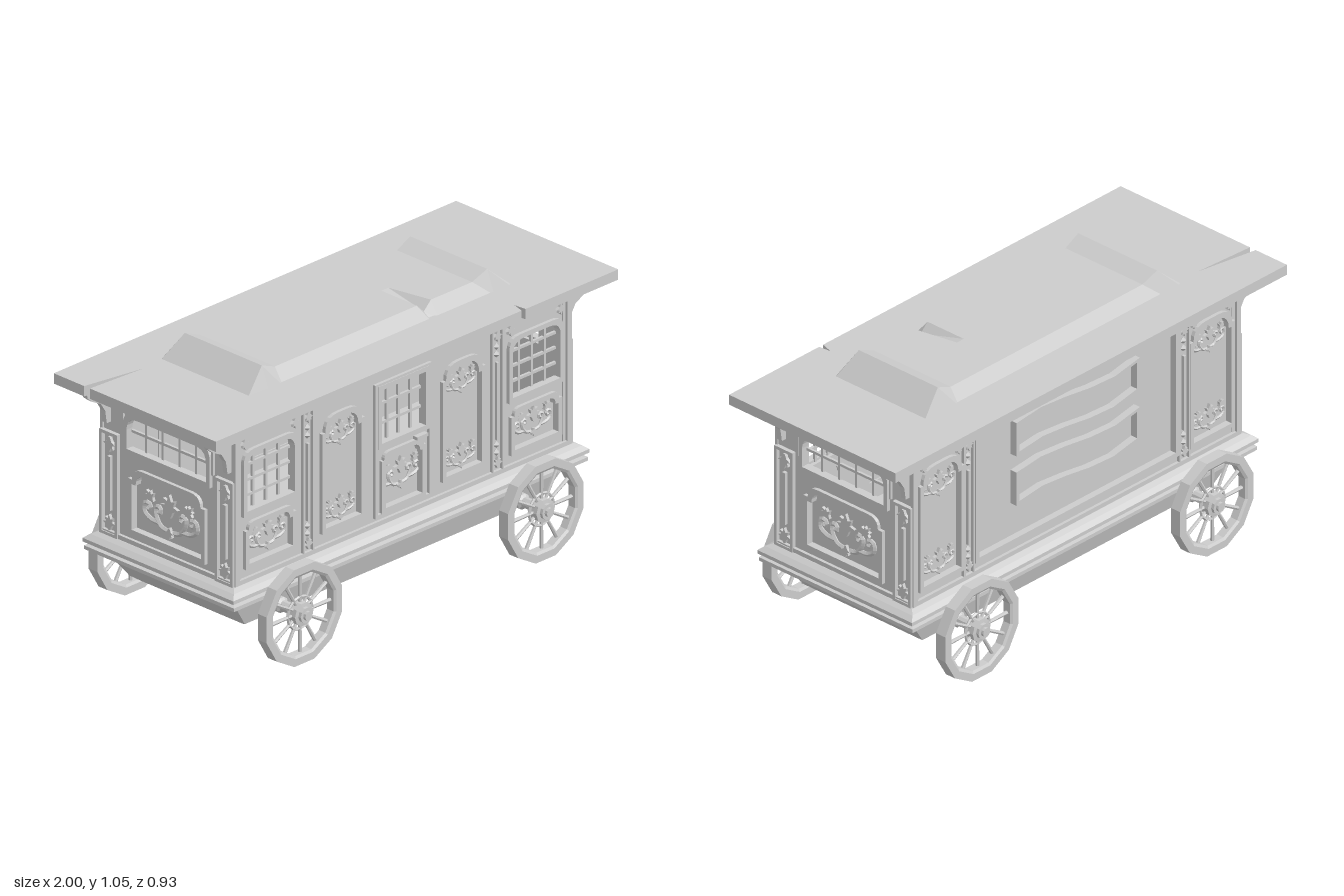
import * as THREE from 'three';

const mat = new THREE.MeshStandardMaterial({ color: 0xcccccc, flatShading: true });

function add(parent, name, geo, x = 0, y = 0, z = 0) {
  const m = new THREE.Mesh(geo, mat);
  m.name = name;
  m.position.set(x, y, z);
  parent.add(m);
  return m;
}
const box = (w, h, d) => new THREE.BoxGeometry(w, h, d);
const extrude = (shape, depth) => new THREE.ExtrudeGeometry(shape, { depth, bevelEnabled: false, curveSegments: 5 });
const poly = (pts) => new THREE.Shape(pts.map((p) => new THREE.Vector2(...p)));

// Skin over closed rings of points, with both ends capped
function loft(rings) {
  const pos = [], n = rings[0].length;
  const tri = (...p) => p.forEach((v) => pos.push(...v));
  for (let i = 0; i < rings.length - 1; i++)
    for (let j = 0; j < n; j++) {
      const k = (j + 1) % n, a = rings[i][j], b = rings[i][k], c = rings[i + 1][k], d = rings[i + 1][j];
      tri(a, b, c);
      tri(a, c, d);
    }
  const first = rings[0], last = rings[rings.length - 1];
  for (let j = 1; j < n - 1; j++) {
    tri(first[0], first[j + 1], first[j]);
    tri(last[0], last[j], last[j + 1]);
  }
  const g = new THREE.BufferGeometry();
  g.setAttribute('position', new THREE.Float32BufferAttribute(pos, 3));
  g.computeVertexNormals();
  return g;
}
// Stack of rectangles given as [y, half length, half width]
const rectLoft = (levels) => loft(levels.map(([y, x, z]) => [[-x, y, z], [x, y, z], [x, y, -z], [-x, y, -z]]));

// Opening outline: arch height a, shoulder step s
function arch({ x, y, w, h, a = 0, s = 0 }, t = 0) {
  const r = w / 2 - t, y0 = y + t, y1 = y + h - t, p = new THREE.Shape();
  p.moveTo(x - r, y0);
  p.lineTo(x + r, y0);
  if (a) {
    const q = r - s, e = q - a * 1.1;
    p.lineTo(x + r, y1 - a);
    if (s) p.lineTo(x + q, y1 - a);
    p.quadraticCurveTo(x + q, y1, x + e, y1);
    p.lineTo(x - e, y1);
    p.quadraticCurveTo(x - q, y1, x - q, y1 - a);
    if (s) p.lineTo(x - r, y1 - a);
  } else {
    p.lineTo(x + r, y1);
    p.lineTo(x - r, y1);
  }
  p.closePath();
  return p;
}
function frame(spec, t, depth) {
  const o = arch(spec, -t / 2);
  o.holes.push(arch(spec, t / 2));
  return extrude(o, depth);
}

// Carved leaf, half width about 0.4
function leaf(parent, x, y, s, rot = 0) {
  const half = [[0.1, 0.26], [0.27, 0.32], [0.2, 0.1], [0.42, 0.04], [0.16, -0.12], [0.06, -0.36]];
  const pts = [[0, 0.5], ...half, ...half.map(([a, b]) => [-a, b]).reverse()].reverse();
  const m = add(parent, 'leaf', extrude(poly(pts), 0.012), x, y, 0);
  m.scale.set(s, s, 1);
  m.rotation.z = rot;
}

// Leaf between two mirrored pairs of scrolls, half width about s
function ornament(parent, x, y, z, s) {
  const g = new THREE.Group();
  g.name = 'carvedOrnament';
  g.position.set(x, y, z);
  const curls = [
    [[0.1, -0.48], [0.36, -0.42], [0.55, -0.15], [0.58, 0.08], [0.42, 0.14], [0.36, 0], [0.46, -0.04]],
    [[0.45, -0.34], [0.75, -0.32], [1, -0.15], [0.97, 0.1], [0.8, 0.12], [0.76, -0.04], [0.88, -0.04]],
  ];
  for (const m of [-1, 1]) {
    for (const c of curls) {
      const path = new THREE.CatmullRomCurve3(c.map(([u, v]) => new THREE.Vector3(m * u * s, v * s, 0)));
      add(g, 'scroll', new THREE.TubeGeometry(path, 14, 0.075 * s, 5));
    }
    leaf(g, m * 0.72 * s, 0.36 * s, s * 0.45, -m * 0.7);
  }
  leaf(g, 0, 0.25 * s, s * 0.8);
  leaf(g, 0, -0.48 * s, s * 0.4, Math.PI);
  parent.add(g);
}

// One wall facing local +z with its windows and recessed panels
function wall(name, width, dist, rot, bays) {
  const g = new THREE.Group();
  g.name = name;
  g.rotation.y = rot;
  g.position.set(Math.sin(rot) * dist, 0, Math.cos(rot) * dist);
  const shape = arch({ x: 0, y: 0.32, w: width, h: 0.62 });
  for (const b of bays) {
    shape.holes.push(arch(b));
    add(g, 'moulding', frame(b, 0.018, 0.03), 0, 0, -0.016);
    if (b.bars) {
      const [cols, rows] = b.bars;
      for (let i = 1; i < cols; i++) add(g, 'windowBar', box(0.01, b.h, 0.01), b.x - b.w / 2 + (b.w * i) / cols, b.y + b.h / 2, -0.015);
      for (let i = 1; i < rows; i++) add(g, 'windowBar', box(b.w, 0.01, 0.01), b.x, b.y + (b.h * i) / rows, -0.015);
    } else add(g, 'panel', extrude(arch(b, -0.004), 0.012), 0, 0, -0.025);
    for (const [y, s] of b.carve || []) ornament(g, b.x, y, -0.011, s);
  }
  add(g, 'wall', extrude(shape, 0.03), 0, 0, -0.03);
  add(g, 'headRail', box(width, 0.035, 0.012), 0, 0.918, 0.006);
  add(g, 'footRail', box(width, 0.02, 0.012), 0, 0.342, 0.006);
  return g;
}

function pilaster(g, x) {
  for (const m of [-1, 1]) add(g, 'pilasterEdge', box(0.008, 0.56, 0.012), x + m * 0.024, 0.62, 0.006);
  add(g, 'pilasterRod', box(0.01, 0.3, 0.012), x, 0.62, 0.006);
  for (const y of [0.42, 0.45, 0.8, 0.83]) add(g, 'bead', new THREE.OctahedronGeometry(0.014), x, y, 0.002);
  leaf(g, x, 0.875, 0.05, Math.PI);
  leaf(g, x, 0.38, 0.05);
}

// Wheel with spokes, hub and its half of the axle, pointing to +z
function wheel(x, rot) {
  const g = new THREE.Group();
  g.name = 'wheel';
  g.position.set(x, 0.1875, 0);
  g.rotation.y = rot;
  const lathe = (pts, n) =>
    new THREE.LatheGeometry(pts.map((p) => new THREE.Vector2(...p)), n, Math.PI / n).rotateX(Math.PI / 2);
  add(g, 'rim', lathe([[0.155, -0.016], [0.165, -0.022], [0.194, -0.022], [0.194, 0.022], [0.165, 0.022], [0.155, 0.016], [0.155, -0.016]], 12), 0, 0, 0.418);
  add(g, 'axleAndHub', lathe([[0.001, 0.26], [0.03, 0.26], [0.03, 0.33], [0.021, 0.338], [0.021, 0.392], [0.045, 0.395],
    [0.045, 0.438], [0.03, 0.44], [0.03, 0.452], [0.018, 0.452], [0.018, 0.463], [0.001, 0.463]], 10));
  add(g, 'hubRing', new THREE.TorusGeometry(0.062, 0.006, 5, 12), 0, 0, 0.418);
  for (let i = 0; i < 12; i++) {
    const a = (i * Math.PI) / 6;
    const spoke = add(g, 'spoke', new THREE.CylinderGeometry(0.008, 0.006, 0.13, 6), Math.sin(a) * 0.1, Math.cos(a) * 0.1, 0.418);
    spoke.rotation.z = -a;
  }
  return g;
}

export function createModel() {
  const model = new THREE.Group();
  model.name = 'wagon';

  // Undercarriage and stepped ledge
  add(model, 'hull', rectLoft([[0.13, 0.72, 0.25], [0.145, 0.74, 0.285], [0.262, 0.83, 0.32]]));
  add(model, 'ledge', rectLoft([[0.26, 0.865, 0.355], [0.266, 0.88, 0.37], [0.28, 0.88, 0.37], [0.284, 0.86, 0.35], [0.29, 0.86, 0.35],
    [0.296, 0.885, 0.372], [0.31, 0.885, 0.372], [0.325, 0.865, 0.355], [0.335, 0.845, 0.335]]));
  for (const x of [-0.6, 0.6]) for (const r of [0, Math.PI]) model.add(wheel(x, r));

  // Front: corner windows, tall arched panels and the door
  const bays = [{ x: 0, y: 0.64, w: 0.235, h: 0.225, bars: [4, 3] }, { x: 0, y: 0.385, w: 0.2, h: 0.215, a: 0.03, s: 0.01, carve: [[0.5, 0.095]] }];
  for (const m of [-1, 1])
    bays.push(
      { x: m * 0.66, y: 0.6, w: 0.255, h: 0.235, a: 0.05, bars: [4, 4] },
      { x: m * 0.66, y: 0.395, w: 0.235, h: 0.16, a: 0.03, s: 0.015, carve: [[0.48, 0.09]] },
      { x: m * 0.3, y: 0.405, w: 0.195, h: 0.43, a: 0.06, s: 0.015, carve: [[0.755, 0.075], [0.465, 0.075]] });
  const front = wall('frontWall', 1.658, 0.322, 0, bays);
  add(front, 'doorFrame', frame({ x: 0, y: 0.372, w: 0.268, h: 0.505 }, 0.012, 0.012));
  add(front, 'doorHandle', box(0.055, 0.012, 0.02), 0.085, 0.615, 0.012);
  for (const m of [-1, 1]) {
    pilaster(front, m * 0.47);
    add(front, 'cornerStrip', box(0.022, 0.6, 0.012), m * 0.825, 0.63, 0.006);
    for (const k of [0.535, 0.785]) leaf(front, m * k, 0.875, 0.05, Math.PI);
  }

  // Back: arched side panels around a wide field with two wavy frames
  const backBays = [{ x: 0, y: 0.39, w: 1.02, h: 0.5 }];
  for (const m of [-1, 1]) backBays.push({ x: m * 0.69, y: 0.39, w: 0.21, h: 0.47, a: 0.06, s: 0.015, carve: [[0.775, 0.08], [0.46, 0.08]] });
  const back = wall('backWall', 1.658, 0.322, Math.PI, backBays);
  for (const m of [-1, 1]) {
    pilaster(back, m * 0.55);
    add(back, 'cornerStrip', box(0.022, 0.6, 0.012), m * 0.825, 0.63, 0.006);
    for (const k of [0.6, 0.78]) leaf(back, m * k, 0.88, 0.045, Math.PI);
  }
  const wavy = (y0, y1, t) => {
    const r = 0.315 - t, p = new THREE.Shape();
    p.moveTo(-r, y0 + t);
    p.bezierCurveTo(-r / 3, y0 + t + 0.05, r / 3, y0 + t - 0.07, r, y0 + t);
    p.lineTo(r, y1 - t);
    p.bezierCurveTo(r / 3, y1 - t - 0.07, -r / 3, y1 - t + 0.05, -r, y1 - t);
    p.closePath();
    return p;
  };
  for (const [y0, y1] of [[0.53, 0.665], [0.73, 0.865]]) {
    const s = wavy(y0, y1, 0);
    s.holes.push(wavy(y0, y1, 0.014));
    add(back, 'wavyFrame', extrude(s, 0.03), 0, 0, -0.014);
  }
  model.add(front, back);

  // Ends: barred window, carved panel, corner posts and roof brackets
  const bracket = poly([[0, 0.77], [0.02, 0.77], [0.028, 0.82], [0.05, 0.855], [0.09, 0.875], [0.115, 0.895], [0.125, 0.94], [0, 0.94]]);
  for (const m of [-1, 1]) {
    const end = wall(m > 0 ? 'leftEnd' : 'rightEnd', 0.65, 0.83, (m * Math.PI) / 2, [
      { x: 0, y: 0.69, w: 0.41, h: 0.142, a: 0.05, bars: [5, 2] },
      { x: 0, y: 0.385, w: 0.36, h: 0.24, a: 0.045, s: 0.02, carve: [[0.495, 0.13]] }]);
    for (const k of [-1, 1]) {
      add(end, 'cornerPost', frame({ x: k * 0.285, y: 0.34, w: 0.076, h: 0.39 }, 0.012, 0.016));
      add(end, 'postRod', box(0.014, 0.21, 0.014), k * 0.285, 0.535, 0.007);
      leaf(end, k * 0.285, 0.69, 0.07, Math.PI);
      leaf(end, k * 0.285, 0.38, 0.07);
      leaf(end, k * 0.195, 0.868, 0.055, k * 2.4);
      add(end, 'upperStile', box(0.008, 0.165, 0.01), k * 0.222, 0.815, 0.005);
      const b = add(end, 'roofBracket', extrude(bracket, 0.022), k * 0.298 - 0.011, 0, 0);
      b.rotation.y = -Math.PI / 2;
      b.position.x += 0.022;
    }
    model.add(end);
  }

  // Split roof board
  const roof = poly([[-1, -0.4], [0.52, -0.4], [0.535, -0.35], [0.54, -0.4], [1, -0.4], [1, 0.4], [-1, 0.4], [-1, 0.25], [-0.75, 0.205], [-1, 0.222]]);
  add(model, 'roof', extrude(roof, 0.04).rotateX(-Math.PI / 2), 0, 0.936, 0);

  // Raised roof cap with lifted ends and a cracked edge
  const cap = [[-0.65, 0.976, 0.215], [-0.56, 1.055, 0.19], [-0.49, 1.026, 0.185], [0.215, 1.026, 0.185], [0.25, 1.026, 0.185, 0.992],
    [0.285, 1.026, 0.185], [0.49, 1.026, 0.185], [0.56, 1.055, 0.19], [0.65, 0.976, 0.215]];
  add(model, 'roofCap', loft(cap.map(([x, y, w, edge = y]) =>
    [[x, 0.965, -0.225], [x, y, -w], [x, y, 0.01], [x, edge, w], [x, 0.965, 0.225]])));

  return model;
}
